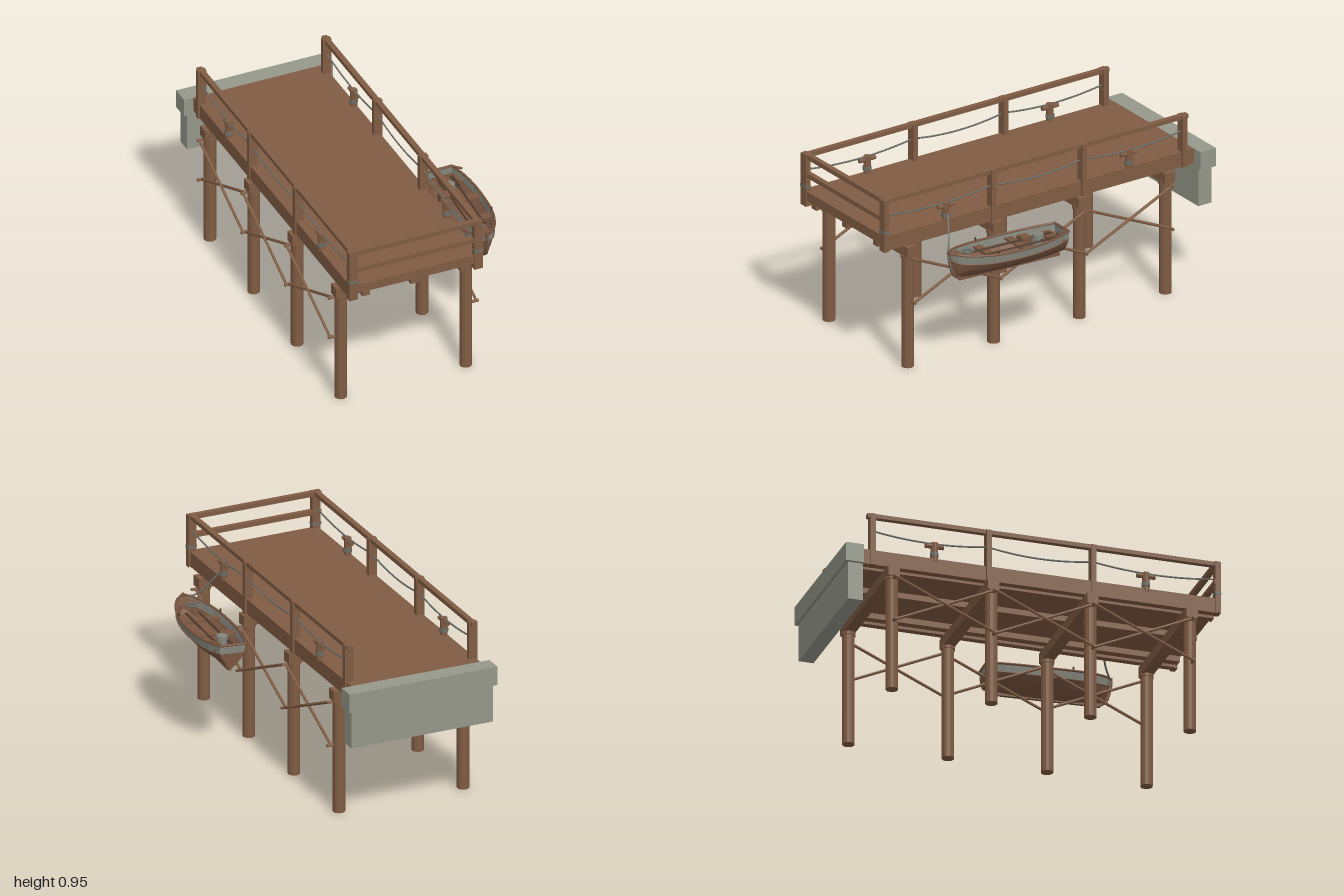
import * as THREE from 'three';

const material = (name, color, side = THREE.FrontSide) => {
  const m = new THREE.MeshStandardMaterial({ color, side });
  m.name = name;
  return m;
};
const V = (x, y, z) => new THREE.Vector3(x, y, z);

export function createModel() {
  const wood = material('weathered wood', 0x805c43);
  const hullWood = material('hull wood', 0x7a5640, THREE.DoubleSide);
  const hullPaint = material('faded hull paint', 0x84867c, THREE.DoubleSide);
  const darkWood = material('dark wood', 0x4f3a2c);
  const rope = material('rope', 0x6c6e68);
  const concrete = material('concrete', 0x95988a);

  const model = new THREE.Group();
  model.name = 'pier';

  // Helpers
  const add = (parent, name, geo, mat) => {
    const mesh = new THREE.Mesh(geo, mat);
    mesh.name = name;
    parent.add(mesh);
    return mesh;
  };
  const flat = (geo) => {
    const g = geo.index ? geo.toNonIndexed() : geo;
    g.computeVertexNormals();
    return g;
  };
  // box given by its limits on each axis
  const box = (parent, name, x0, x1, y0, y1, z0, z1, mat = wood) => {
    const m = add(parent, name, new THREE.BoxGeometry(x1 - x0, y1 - y0, z1 - z0), mat);
    m.position.set((x0 + x1) / 2, (y0 + y1) / 2, (z0 + z1) / 2);
    return m;
  };
  // round bar between two points
  const bar = (parent, name, a, b, r, mat = wood, sides = 8) => {
    const m = add(parent, name, flat(new THREE.CylinderGeometry(r, r, a.distanceTo(b), sides)), mat);
    m.position.copy(a).add(b).multiplyScalar(0.5);
    m.quaternion.setFromUnitVectors(V(0, 1, 0), b.clone().sub(a).normalize());
    return m;
  };
  const tube = (parent, name, pts, r, mat, segments = 24, closed = false) =>
    add(parent, name, new THREE.TubeGeometry(new THREE.CatmullRomCurve3(pts, closed), segments, r, 6, closed), mat);

  const midX = -0.131;

  // Deck with stringers underneath
  box(model, 'deck', -0.49, 0.226, 0.70, 0.75, -0.905, 0.99);
  for (const [x0, x1] of [[-0.49, -0.452], [-0.423, -0.38], [-0.155, -0.108], [0.118, 0.16], [0.19, 0.226]])
    box(model, 'stringer', x0, x1, 0.67, 0.702, -0.905, 0.985);

  // Shore abutment
  box(model, 'abutmentCap', -0.542, 0.28, 0.65, 0.75, -1, -0.905, concrete);
  box(model, 'abutmentWall', -0.525, 0.263, 0.447, 0.65, -0.984, -0.905, concrete);

  // Piles and cross beams
  const pileZ = [0.84, 0.314, -0.21, -0.737];
  for (const z of pileZ) {
    box(model, 'crossBeam', -0.516, 0.255, 0.614, 0.67, z - 0.03, z + 0.03);
    for (const s of [-1, 1]) {
      const x = midX + s * 0.345;
      bar(model, 'pile', V(x, 0, z), V(x, 0.64, z), 0.032, wood, 12);
      bar(model, 'pileCollar', V(x, 0.6, z), V(x, 0.616, z), 0.037, wood, 12);
      for (const y of [0.605, 0.368])
        bar(model, 'bracePeg', V(x + s * 0.02, y, z), V(x + s * 0.07, y, z), 0.008);
    }
  }
  // Crossed braces outside the piles
  for (const s of [-1, 1])
    for (let i = 0; i < 3; i++) {
      const xa = midX + s * 0.390, xb = midX + s * 0.403;
      bar(model, 'brace', V(xa, 0.605, pileZ[i]), V(xa, 0.368, pileZ[i + 1]), 0.0075);
      bar(model, 'brace', V(xb, 0.368, pileZ[i]), V(xb, 0.605, pileZ[i + 1]), 0.0075);
    }

  // Railings, hanging ropes and mooring posts
  const postZ = [0.983, 0.325, -0.228, -0.842];
  for (const s of [-1, 1]) {
    const x = midX + s * 0.345;
    for (const z of postZ)
      box(model, 'railPost', x - 0.023, x + 0.023, 0.668, 0.95, z - 0.014, z + 0.014);
    box(model, 'sideRail', x - 0.014, x + 0.014, 0.93, 0.952, -0.868, 0.99);
    box(model, 'ropeTie', x - 0.025, x + 0.025, 0.768, 0.782, 0.967, 0.999, rope);
    for (let i = 0; i < 3; i++) {
      const pts = [];
      for (let k = 0; k <= 8; k++) {
        const t = k / 8;
        pts.push(V(x, 0.863 - 0.1 * t * (1 - t), THREE.MathUtils.lerp(postZ[i], postZ[i + 1], t)));
      }
      tube(model, 'hangingRope', pts, 0.0045, rope);
    }
    for (const z of [0.607, -0.512]) {
      bar(model, 'mooringPost', V(x, 0.735, z), V(x, 0.842, z), 0.019, wood, 10);
      bar(model, 'mooringCrossbar', V(x, 0.823, z - 0.049), V(x, 0.823, z + 0.049), 0.012);
      bar(model, 'mooringWrap', V(x, 0.766, z), V(x, 0.784, z), 0.023, rope, 10);
    }
  }
  for (const y of [0.827, 0.928])
    box(model, 'endRail', -0.499, 0.237, y, y + 0.024, 0.963, 0.991);

  // Rowing boat, stern at -z and bow at +z
  const boat = new THREE.Group();
  boat.name = 'rowingBoat';
  boat.position.set(0.418, 0.497, 0.378);
  boat.rotation.set(0, -0.06, 0.05);
  model.add(boat);

  const beam = [0.069, 0.098, 0.115, 0.12, 0.116, 0.101, 0.073, 0.042, 0.007];
  const stations = [-0.33, -0.24, -0.14, -0.03, 0.08, 0.17, 0.25, 0.3, 0.33];
  const gunwaleY = [0.143, 0.135, 0.13, 0.128, 0.13, 0.135, 0.142, 0.148, 0.153];
  const keelY = [0.018, 0.009, 0.004, 0.002, 0.002, 0.004, 0.009, 0.018, 0.04];
  // width and height fractions from the gunwale down to the keel
  const section = [[1, 1], [0.94, 0.64], [0.7, 0.36], [0.32, 0.12], [0.06, 0]];
  const hullPoint = (i, row, side) => {
    const [w, h] = section[row];
    return V(side * beam[i] * w, THREE.MathUtils.lerp(keelY[i], gunwaleY[i], h),
      stations[i] - (i === 8 ? (1 - h) * 0.02 : 0));
  };
  const quads = (list) => {
    const p = [];
    for (const [a, b, c, d] of list) for (const v of [a, b, c, a, c, d]) p.push(v.x, v.y, v.z);
    const g = new THREE.BufferGeometry();
    g.setAttribute('position', new THREE.Float32BufferAttribute(p, 3));
    g.computeVertexNormals();
    return g;
  };
  const planks = (name, r0, r1, mat) => {
    const list = [];
    for (let r = r0; r < r1; r++) {
      for (let i = 0; i < 8; i++) {
        const q = (s) => [hullPoint(i, r, s), hullPoint(i, r + 1, s), hullPoint(i + 1, r + 1, s), hullPoint(i + 1, r, s)];
        list.push(q(1), q(-1).reverse());
      }
      // transom and bow closure
      for (const i of [0, 8]) {
        const q = [hullPoint(i, r, -1), hullPoint(i, r + 1, -1), hullPoint(i, r + 1, 1), hullPoint(i, r, 1)];
        list.push(i ? q : q.reverse());
      }
    }
    add(boat, name, quads(list), mat);
  };
  planks('upperStrake', 0, 1, hullPaint);
  planks('lowerHull', 1, 4, hullWood);

  // Boat floor, gunwale, rubbing strakes, keel and stem
  const floor = [];
  for (let i = 0; i < 8; i++)
    floor.push([hullPoint(i, 2, -1), hullPoint(i, 2, 1), hullPoint(i + 1, 2, 1), hullPoint(i + 1, 2, -1)].reverse());
  add(boat, 'boatFloor', quads(floor), hullWood);
  for (const s of [-1, 1]) {
    tube(boat, 'gunwale', stations.map((_, i) => hullPoint(i, 0, s)), 0.0065, hullWood);
    tube(boat, 'rubbingStrake', stations.map((_, i) => hullPoint(i, 1, s)), 0.0035, hullWood);
  }
  bar(boat, 'sternRail', hullPoint(0, 0, -1), hullPoint(0, 0, 1), 0.0065, hullWood);
  box(boat, 'keel', -0.009, 0.009, -0.003, 0.014, -0.31, 0.28, hullWood);
  tube(boat, 'stem', [V(0, 0.005, 0.27), V(0, 0.03, 0.308), V(0, 0.09, 0.327), V(0, 0.16, 0.334)], 0.009, hullWood, 10);

  // Seats, bow deck and boards
  box(boat, 'thwart', -0.112, 0.112, 0.1, 0.11, -0.105, -0.06, hullWood);
  box(boat, 'thwart', -0.105, 0.105, 0.1, 0.11, 0.085, 0.13, hullWood);
  box(boat, 'sternSeat', -0.08, 0.08, 0.1, 0.11, -0.3, -0.24, hullWood);
  box(boat, 'crate', -0.075, -0.02, 0.06, 0.125, -0.165, -0.11, hullWood);
  add(boat, 'bowDeck', quads([6, 7].map((i) => [hullPoint(i, 0, -1), hullPoint(i + 1, 0, -1),
    hullPoint(i + 1, 0, 1), hullPoint(i, 0, 1)].map((v) => v.setY(v.y - 0.012)))), hullWood);
  for (const x of [-0.025, 0.045]) {
    bar(boat, 'oar', V(x, 0.117, -0.27), V(x, 0.117, 0.18), 0.005, darkWood);
    box(boat, 'oarBlade', x - 0.011, x + 0.011, 0.115, 0.12, -0.28, -0.18, darkWood);
  }
  for (const s of [-1, 1])
    bar(boat, 'oarlock', V(s * 0.112, 0.125, 0.11), V(s * 0.112, 0.152, 0.11), 0.005, darkWood);

  // Small gear: bucket, rope coil and tiller
  bar(boat, 'bucket', V(0, 0.07, -0.19), V(0, 0.14, -0.19), 0.029, hullPaint, 12);
  const coil = add(boat, 'ropeCoil', new THREE.TorusGeometry(0.024, 0.006, 6, 18), rope);
  coil.rotation.x = Math.PI / 2;
  coil.position.set(0, 0.14, 0.225);
  bar(boat, 'tiller', V(0.06, 0.15, -0.32), V(0.1, 0.155, -0.27), 0.006, hullWood);

  // Mooring line from the pier to the bow
  tube(model, 'mooringLine', [V(0.235, 0.785, 0.607), V(0.27, 0.733, 0.63), V(0.31, 0.68, 0.655),
    V(0.35, 0.647, 0.685), V(0.385, 0.643, 0.707), V(0.397, 0.62, 0.715), V(0.402, 0.55, 0.7)], 0.005, rope, 30);

  return model;
}
